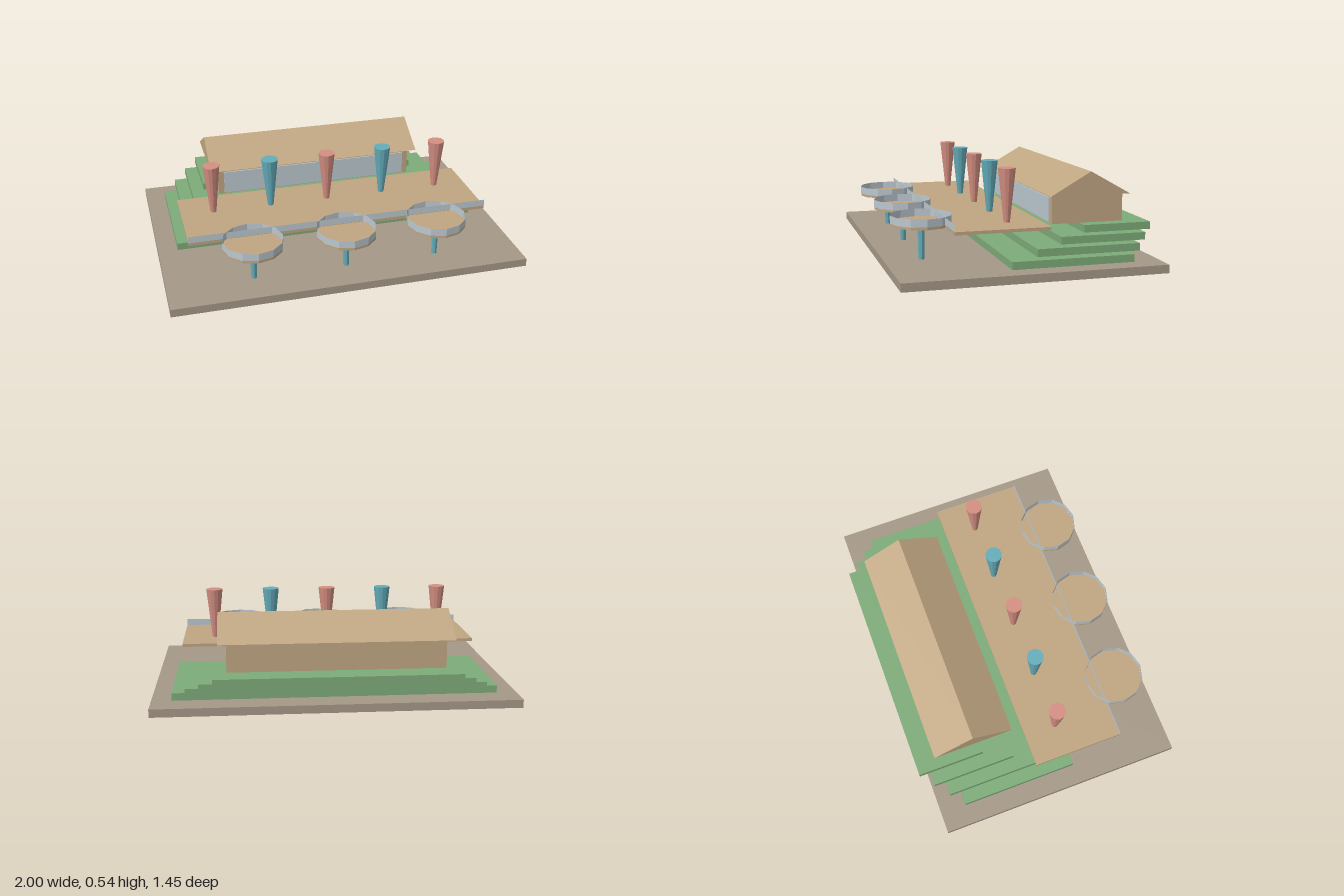
import * as THREE from 'three';

const mat = (name, color, extra = {}) => {
  const m = new THREE.MeshStandardMaterial({ color, flatShading: true, ...extra });
  m.name = name;
  return m;
};

export function createModel() {
  const stone = mat('stone', 0xa59887);
  const grass = mat('grass', 0x7dab79);
  const timber = mat('timber', 0xc0a682);
  const glass = mat('glass', 0xbcc8d0, { side: THREE.DoubleSide });
  const terracotta = mat('terracotta', 0xd48f82);
  const teal = mat('teal', 0x65adba);

  const model = new THREE.Group();
  model.name = 'terracedPavilion';

  const add = (name, geometry, material, x = 0, y = 0, z = 0) => {
    const mesh = new THREE.Mesh(geometry, material);
    mesh.name = name;
    mesh.position.set(x, y, z);
    model.add(mesh);
    return mesh;
  };
  // Box centred on x, given by half width and its y and z limits
  const slab = (name, material, halfW, y0, y1, z0, z1) =>
    add(name, new THREE.BoxGeometry(2 * halfW, y1 - y0, z1 - z0), material, 0, (y0 + y1) / 2, (z0 + z1) / 2);

  // Ground plate
  slab('base', stone, 1, 0, 0.045, -0.682, 0.727);

  // Stepped terraces, each narrower and set further back
  const h = 0.041;
  [[0.89, -0.534, 0.135], [0.815, -0.599, -0.025], [0.74, -0.664, -0.182], [0.665, -0.727, -0.34]]
    .forEach(([w, z0, z1], i) => slab('terrace' + (i + 1), grass, w, 0.045 + i * h, 0.045 + (i + 1) * h, z0, z1));

  // House with a glazed front and a gable roof
  slab('houseWalls', timber, 0.592, 0.209, 0.367, -0.59, -0.181);
  slab('frontWindow', glass, 0.558, 0.216, 0.35, -0.181, -0.173);
  const gable = new THREE.Shape();
  gable.moveTo(-0.23, 0);
  gable.lineTo(0.23, 0);
  gable.lineTo(0, 0.13);
  gable.closePath();
  const roofGeo = new THREE.ExtrudeGeometry(gable, { depth: 1.276, bevelEnabled: false });
  roofGeo.translate(0, 0, -0.638);
  roofGeo.rotateY(Math.PI / 2);
  add('roof', roofGeo, timber, 0, 0.366, -0.386);

  // Raised deck with a front rail
  slab('deck', timber, 0.853, 0.232, 0.249, -0.086, 0.425);
  add('frontRail', new THREE.PlaneGeometry(1.706, 0.038), glass, 0, 0.268, 0.425);

  // Round balconies on posts
  for (const x of [-0.52, 0, 0.52]) {
    add('balconyFloor', new THREE.CylinderGeometry(0.165, 0.165, 0.015, 12), timber, x, 0.2395, 0.526);
    add('balconyRail', new THREE.CylinderGeometry(0.166, 0.166, 0.042, 12, 1, true), glass, x, 0.267, 0.526);
    add('balconyPost', new THREE.CylinderGeometry(0.02, 0.016, 0.188, 8), teal, x, 0.139, 0.526);
  }

  // Row of flared columns in alternating colours
  for (let i = -2; i <= 2; i++) {
    add('flaredColumn', new THREE.CylinderGeometry(0.048, 0.017, 0.289, 12), i % 2 ? teal : terracotta,
      i * 0.3335, 0.3925, 0.098);
  }

  return model;
}
